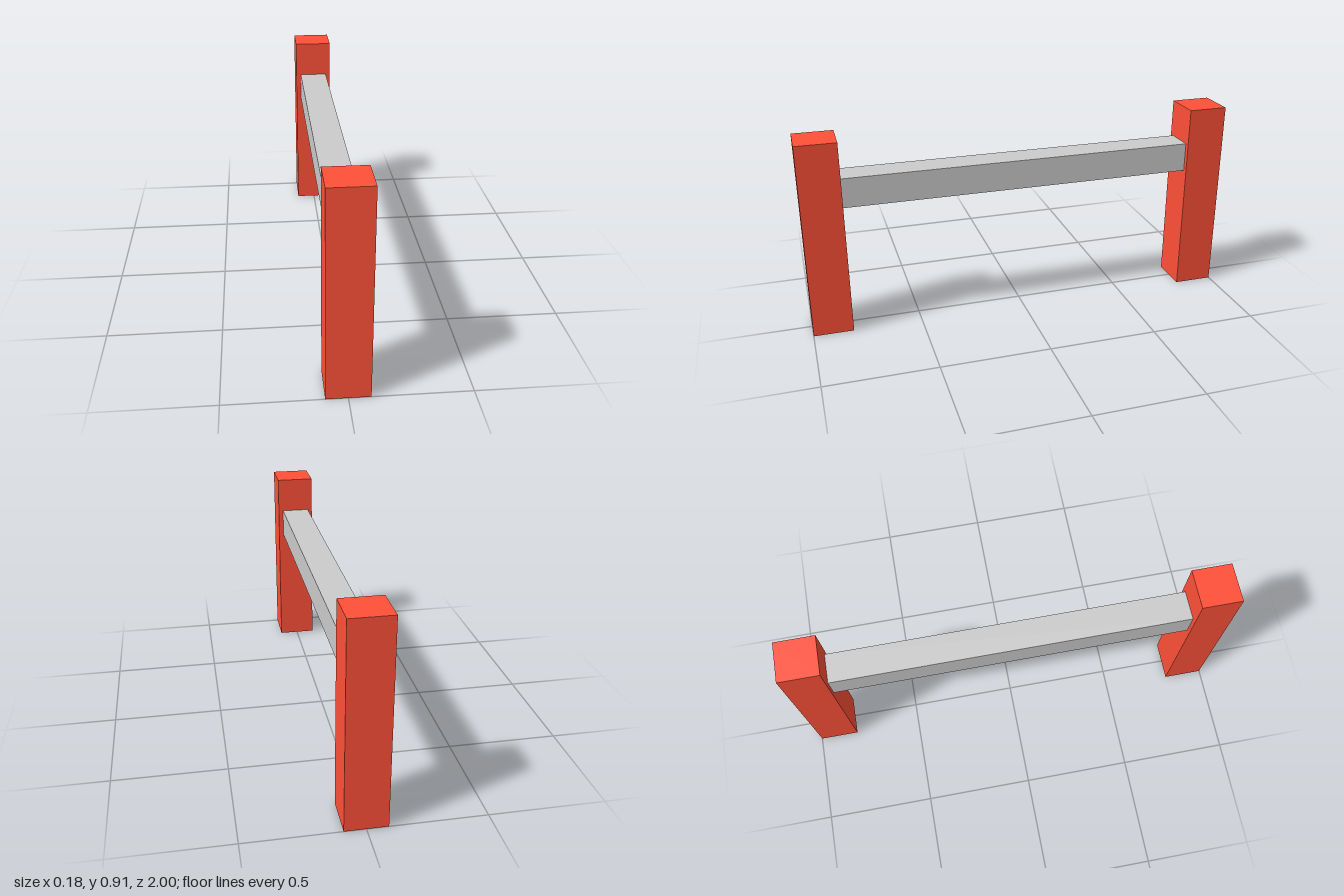
import * as THREE from 'three';

const POST = 0.182; // post side
const HEIGHT = 0.909; // post height
const BEAM = 0.136; // beam side
const BEAM_Y = 0.67; // beam centre height

function addBox(group, name, size, position, color) {
  const material = new THREE.MeshStandardMaterial({ color });
  const mesh = new THREE.Mesh(new THREE.BoxGeometry(...size), material);
  mesh.name = name;
  mesh.position.set(...position);
  group.add(mesh);
}

export function createModel() {
  const group = new THREE.Group();
  group.name = 'hurdle';

  // Two upright posts, front and back
  for (const [name, side] of [['frontPost', 1], ['backPost', -1]]) {
    addBox(group, name, [POST, HEIGHT, POST], [0, HEIGHT / 2, side * (1 - POST / 2)], 0xff5038);
  }

  // Crossbar spanning between the inner faces of the posts
  addBox(group, 'crossbar', [BEAM, BEAM, 2 - 2 * POST], [0, BEAM_Y, 0], 0xcccccc);

  return group;
}
